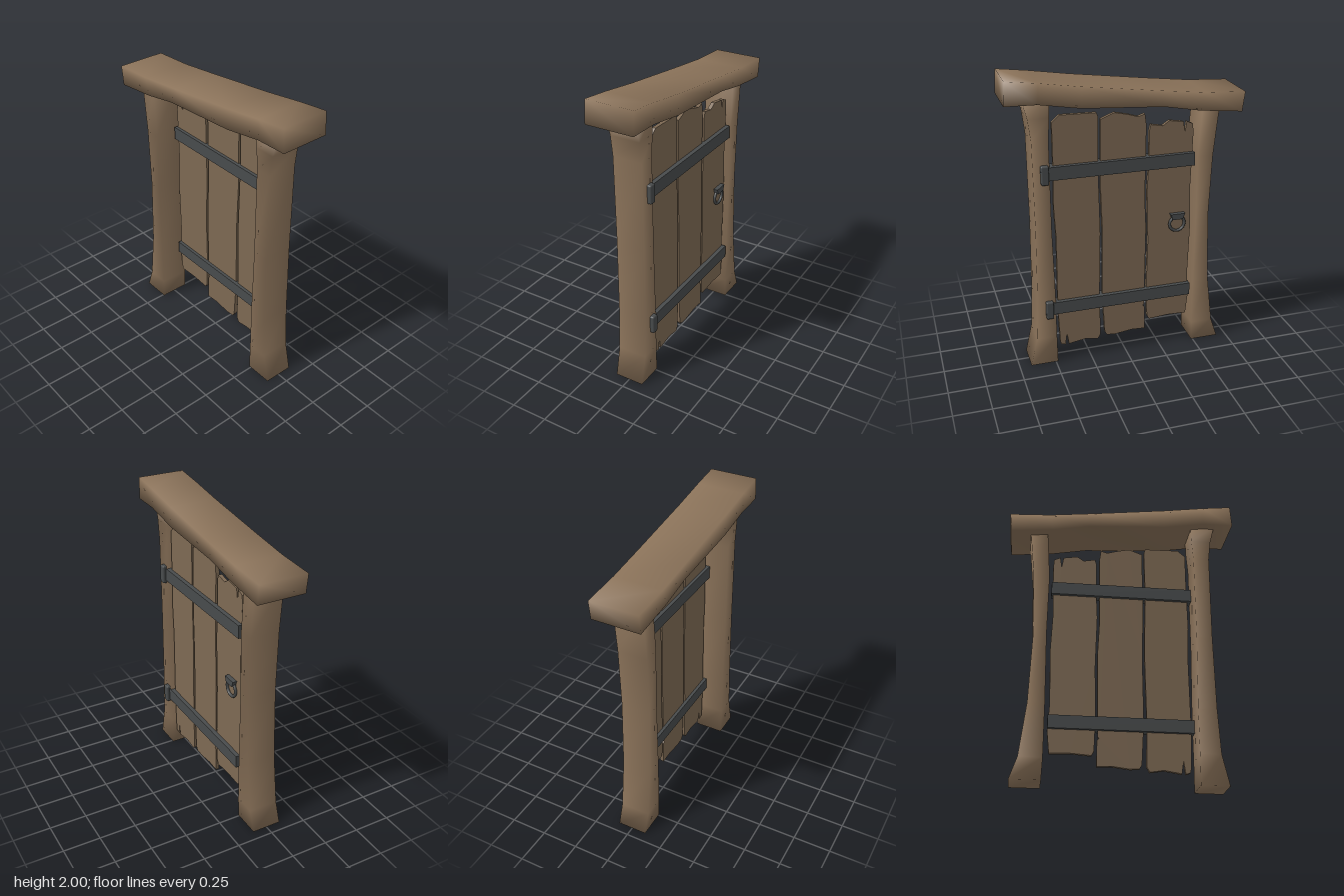
import * as THREE from 'three';
import { RoundedBoxGeometry } from 'three/addons/geometries/RoundedBoxGeometry.js';

const wood = new THREE.MeshStandardMaterial({ color: 0x8a7259 });
const plankWood = new THREE.MeshStandardMaterial({ color: 0x7d6953 });
const iron = new THREE.MeshStandardMaterial({ color: 0x484b4c });

// Skin a row of four-cornered sections, with shared corners for soft shading
function loft(sections) {
  const index = [];
  const quad = (a, b, c, d) => index.push(a, b, c, a, c, d);
  const last = (sections.length - 1) * 4;
  for (let i = 0; i < last; i += 4) {
    for (let k = 0; k < 4; k++) {
      const n = (k + 1) % 4;
      quad(i + k, i + n, i + 4 + n, i + 4 + k);
    }
  }
  quad(3, 2, 1, 0);
  quad(last, last + 1, last + 2, last + 3);
  const g = new THREE.BufferGeometry();
  g.setAttribute('position', new THREE.Float32BufferAttribute(sections.flat(2), 3));
  g.setIndex(index);
  g.computeVertexNormals();
  return g;
}

// Rows of [y, greater z, lesser z]
const postGeometry = (rows) => loft(rows.map(([y, z1, z0]) =>
  [[0.1, y, z1], [0.1, y, z0], [-0.1, y, z0], [-0.1, y, z1]]));

// Rows of [bottom z, bottom y, top z, top y]
const beamGeometry = (rows) => loft(rows.map(([zb, yb, zt, yt]) =>
  [[0.162, yb, zb], [0.162, yt, zt], [-0.162, yt, zt], [-0.162, yb, zb]]));

// Extrude an outline of [-z, y] points between two x positions
function slab(points, x0, x1) {
  const shape = new THREE.Shape(points.map(([u, y]) => new THREE.Vector2(u, y)));
  const g = new THREE.ExtrudeGeometry(shape, { depth: x1 - x0, bevelEnabled: false });
  return g.rotateY(Math.PI / 2).translate(x0, 0, 0);
}

export function createModel() {
  const group = new THREE.Group();
  const add = (name, geometry, material, x = 0, y = 0, z = 0) => {
    const mesh = new THREE.Mesh(geometry, material);
    mesh.name = name;
    mesh.position.set(x, y, z);
    group.add(mesh);
    return mesh;
  };

  // Crooked posts
  add('hingePost', postGeometry([
    [0, 0.67, 0.485], [0.2, 0.625, 0.487], [0.5, 0.61, 0.487], [1, 0.602, 0.497],
    [1.6, 0.605, 0.497], [1.74, 0.622, 0.487], [1.86, 0.652, 0.485],
  ]), wood);
  add('latchPost', postGeometry([
    [0, -0.49, -0.685], [0.14, -0.485, -0.637], [0.49, -0.485, -0.595], [0.97, -0.492, -0.578],
    [1.39, -0.487, -0.593], [1.73, -0.51, -0.626],
  ]), wood);

  // Sagging lintel
  add('lintel', beamGeometry([
    [-0.755, 1.69, -0.77, 1.82], [-0.47, 1.72, -0.5, 1.835], [-0.23, 1.765, -0.205, 1.87],
    [0.3, 1.8, 0.3, 1.935], [0.565, 1.845, 0.56, 1.975], [0.77, 1.85, 0.76, 2],
  ]), wood);

  // Ragged door planks
  const planks = [
    [[-0.47, 1.70], [-0.42, 1.745], [-0.185, 1.74], [-0.175, 1.71], [-0.18, 1.39], [-0.17, 0.92],
      [-0.18, 0.44], [-0.175, 0.15], [-0.195, 0.115], [-0.285, 0.13], [-0.38, 0.115], [-0.4, 0.11],
      [-0.413, 0.195], [-0.425, 0.11], [-0.455, 0.12], [-0.46, 0.14], [-0.47, 0.39], [-0.465, 0.92],
      [-0.475, 1.13], [-0.47, 1.45]],
    [[-0.16, 1.695], [-0.07, 1.73], [0.02, 1.71], [0.085, 1.69], [0.13, 1.705], [0.14, 1.63],
      [0.135, 1.13], [0.145, 0.92], [0.14, 0.49], [0.138, 0.335], [0.13, 0.325], [0.143, 0.31],
      [0.143, 0.14], [0.05, 0.145], [-0.07, 0.13], [-0.13, 0.135], [-0.145, 0.16], [-0.16, 0.44],
      [-0.155, 0.92], [-0.165, 1.235]],
    [[0.16, 1.59], [0.17, 1.63], [0.25, 1.615], [0.295, 1.645], [0.39, 1.63], [0.402, 1.56],
      [0.413, 1.63], [0.455, 1.61], [0.46, 1.55], [0.45, 1.18], [0.46, 0.92], [0.45, 0.545],
      [0.46, 0.36], [0.445, 0.215], [0.31, 0.22], [0.175, 0.21], [0.16, 0.24], [0.153, 0.49],
      [0.16, 0.81], [0.15, 1.18], [0.16, 1.39]],
  ];
  planks.forEach((p, i) => add(`plank${i + 1}`, slab(p, 0.053, 0.078), plankWood));

  // Iron straps wrapping the door, each with a hinge knuckle
  for (const [name, y, end] of [['upper', 1.378, -0.466], ['lower', 0.42, -0.46]]) {
    add(`${name}Strap`, new THREE.BoxGeometry(0.075, 0.088, 0.51 - end), iron, 0.069, y, (0.51 + end) / 2);
    add(`${name}Hinge`, new RoundedBoxGeometry(0.04, 0.127, 0.05, 2, 0.01), iron, 0.108, y - 0.002, 0.531);
  }

  // Ring pull and its mounting plate
  add('handlePlate', slab([[0.31, 1], [0.325, 0.96], [0.395, 0.96], [0.41, 1]], 0.07, 0.108), iron);
  add('handleRing', new THREE.TorusGeometry(0.052, 0.01, 8, 24), iron, 0.089, 0.925, -0.36)
    .rotation.y = Math.PI / 2;

  return group;
}
